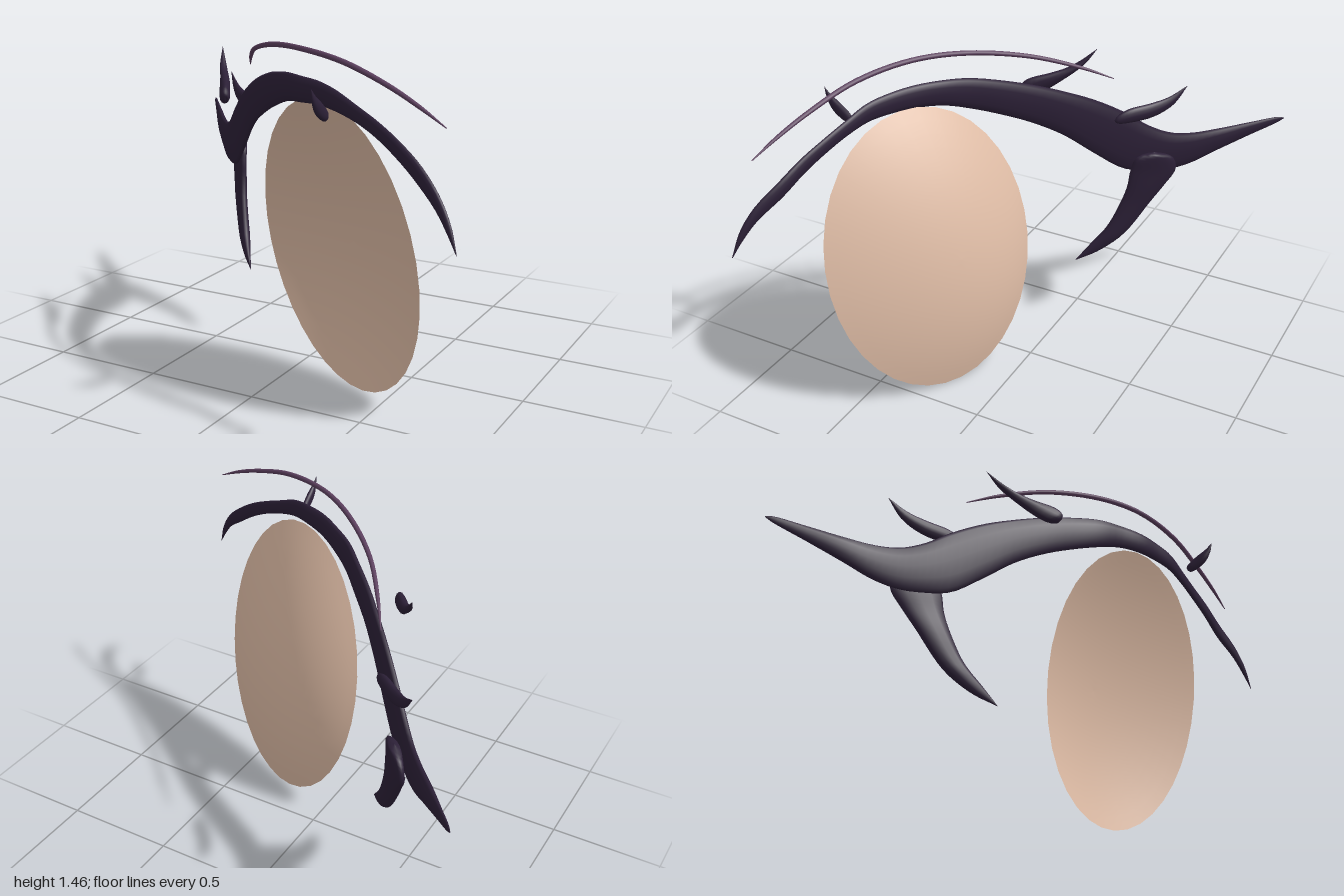
import * as THREE from 'three';

// depth of the curved lid line, sampled every 0.2 along x from -1 to 1
const LID_Z = [-0.795, -0.55, -0.32, -0.11, 0.1, 0.29, 0.43, 0.53, 0.6, 0.68, 0.795];
function lidZ(x) {
  const f = THREE.MathUtils.clamp((x + 1) * 5, 0, 10);
  const i = Math.min(Math.floor(f), 9);
  return THREE.MathUtils.lerp(LID_Z[i], LID_Z[i + 1], f - i);
}

// a lens-shaped blade lofted between two edge lines; its half thickness is
// the given share of its half width, up to a maximum
function blade(edgeA, edgeB, maxThickness, share, steps, sides = 12) {
  const ca = new THREE.CatmullRomCurve3(edgeA), cb = new THREE.CatmullRomCurve3(edgeB);
  const mid = (u) => ca.getPoint(u).add(cb.getPoint(u)).multiplyScalar(0.5);
  const pos = [], idx = [];
  for (let i = 0; i <= steps; i++) {
    const u = i / steps;
    const c = mid(u);
    const w = ca.getPoint(u).sub(c);
    const t = mid(Math.min(1, u + 0.01)).sub(mid(Math.max(0, u - 0.01))).normalize();
    const n = t.clone().cross(w).normalize().multiplyScalar(Math.min(maxThickness, w.length() * share));
    for (let j = 0; j < sides; j++) {
      const a = (j / sides) * Math.PI * 2;
      const p = c.clone().addScaledVector(w, Math.cos(a)).addScaledVector(n, Math.sin(a));
      pos.push(p.x, p.y, p.z);
      if (i === steps) continue;
      const k = i * sides + j, k1 = i * sides + ((j + 1) % sides);
      idx.push(k, k1, k + sides, k1, k1 + sides, k + sides);
    }
  }
  const g = new THREE.BufferGeometry();
  g.setAttribute('position', new THREE.Float32BufferAttribute(pos, 3));
  g.setIndex(idx);
  g.computeVertexNormals();
  return g;
}

// blade laid on the lid surface; rows are [xA, yA, xB, yB, depth offset]
function lidBlade(rows, maxThickness, share, steps) {
  const at = (x, y, o = 0) => new THREE.Vector3(x, y, lidZ(x) + o);
  return blade(rows.map((r) => at(r[0], r[1], r[4])), rows.map((r) => at(r[2], r[3], r[4])), maxThickness, share, steps);
}

// shallow open bowl: a leaning oval rim, hollow towards the front
function eyeBowl() {
  const profile = [];
  for (let i = 0; i <= 12; i++) profile.push(new THREE.Vector2(i / 12, (i / 12) ** 2 - 1));
  const g = new THREE.LatheGeometry(profile, 36);
  g.rotateX(Math.PI / 2);
  g.applyMatrix4(new THREE.Matrix4().set(
    0.452, 0, 0, 0.302,
    -0.029, 0.634, 0, 0.635,
    0.21, 0.127, 0.148, 0.32,
    0, 0, 0, 1));
  return g;
}

export function createModel() {
  const model = new THREE.Group();
  const lashColor = new THREE.MeshStandardMaterial({ color: 0x2c2037 });
  lashColor.name = 'dark plum';
  const creaseColor = new THREE.MeshStandardMaterial({ color: 0x5c405e });
  creaseColor.name = 'mauve';
  const eyeColor = new THREE.MeshStandardMaterial({ color: 0xe2bfa8, side: THREE.DoubleSide });
  eyeColor.name = 'warm beige';
  const add = (name, geometry, material) => {
    const m = new THREE.Mesh(geometry, material);
    m.name = name;
    model.add(m);
  };

  add('eyeBowl', eyeBowl(), eyeColor);

  // thick upper lash line with outer wing: [x, top, bottom]
  const line = [
    [-1, 0.962, 0.958], [-0.98, 0.968, 0.94], [-0.9, 0.955, 0.89], [-0.8, 0.937, 0.825], [-0.72, 0.93, 0.775],
    [-0.65, 0.943, 0.755], [-0.58, 0.99, 0.762], [-0.5, 1.07, 0.79], [-0.4, 1.15, 0.89],
    [-0.3, 1.21, 1.0], [-0.2, 1.26, 1.08], [-0.1, 1.3, 1.14], [0, 1.33, 1.19], [0.1, 1.345, 1.23],
    [0.2, 1.348, 1.245], [0.3, 1.345, 1.252], [0.4, 1.327, 1.245], [0.5, 1.287, 1.22], [0.6, 1.245, 1.18],
    [0.7, 1.195, 1.125], [0.8, 1.13, 1.055], [0.9, 1.045, 0.98], [0.96, 0.96, 0.91], [1, 0.855, 0.85],
  ];
  add('upperLashLine', lidBlade(line.map(([x, a, b]) => [x, a, x, b]), 0.02, 0.4, 80), lashColor);

  // hooked lower lash
  add('lowerLash', lidBlade([
    [-0.56, 0.875, -0.56, 0.875, -0.06], [-0.62, 0.84, -0.5, 0.855, -0.06], [-0.64, 0.77, -0.49, 0.79, -0.05],
    [-0.61, 0.69, -0.485, 0.71, -0.045], [-0.575, 0.61, -0.47, 0.62, -0.035], [-0.5, 0.46, -0.43, 0.49, -0.025],
    [-0.42, 0.375, -0.385, 0.41, -0.015], [-0.34, 0.335, -0.34, 0.335, -0.01],
  ], 0.024, 0.5, 32), lashColor);

  // short upper lashes
  add('outerLash', lidBlade([
    [-0.67, 1.18, -0.67, 1.18, -0.035], [-0.605, 1.137, -0.62, 1.1, -0.05], [-0.54, 1.12, -0.55, 1.055, -0.06],
    [-0.46, 1.11, -0.46, 1.045, -0.075], [-0.42, 1.085, -0.42, 1.05, -0.08], [-0.41, 1.065, -0.41, 1.065, -0.08],
  ], 0.022, 0.6, 20), lashColor);
  add('middleLash', lidBlade([
    [-0.483, 1.355, -0.483, 1.355, 0.12], [-0.42, 1.28, -0.455, 1.285, 0.14], [-0.36, 1.25, -0.4, 1.215, 0.16],
    [-0.305, 1.225, -0.345, 1.155, 0.19], [-0.293, 1.195, -0.31, 1.155, 0.2], [-0.3, 1.17, -0.3, 1.17, 0.2],
  ], 0.022, 0.6, 20), lashColor);

  // inner lash points straight forward: [z, top, z, bottom]
  const inner = [
    [0.732, 1.362, 0.732, 1.362], [0.7, 1.33, 0.722, 1.315], [0.65, 1.295, 0.695, 1.265],
    [0.613, 1.262, 0.655, 1.235], [0.607, 1.245, 0.625, 1.225], [0.613, 1.232, 0.613, 1.232],
  ];
  add('innerLash', blade(
    inner.map((r) => new THREE.Vector3(0.407, r[1], r[0])),
    inner.map((r) => new THREE.Vector3(0.407, r[3], r[2])), 0.014, 0.6, 20), lashColor);

  // thin tapered eyelid crease: [x, y, half height, depth offset]
  const crease = [
    [-0.41, 1.265, 0.002, -0.07], [-0.33, 1.323, 0.008, -0.03], [-0.2, 1.388, 0.01, 0.01], [0, 1.44, 0.011, 0.01],
    [0.2, 1.455, 0.011, 0.01], [0.44, 1.435, 0.011, 0.005], [0.65, 1.378, 0.01, 0],
    [0.8, 1.32, 0.008, -0.01], [0.915, 1.265, 0.002, -0.04],
  ];
  add('eyelidCrease', lidBlade(crease.map(([x, y, h, o]) => [x, y + h, x, y - h, o]), 0.011, 1, 48), creaseColor);

  return model;
}
